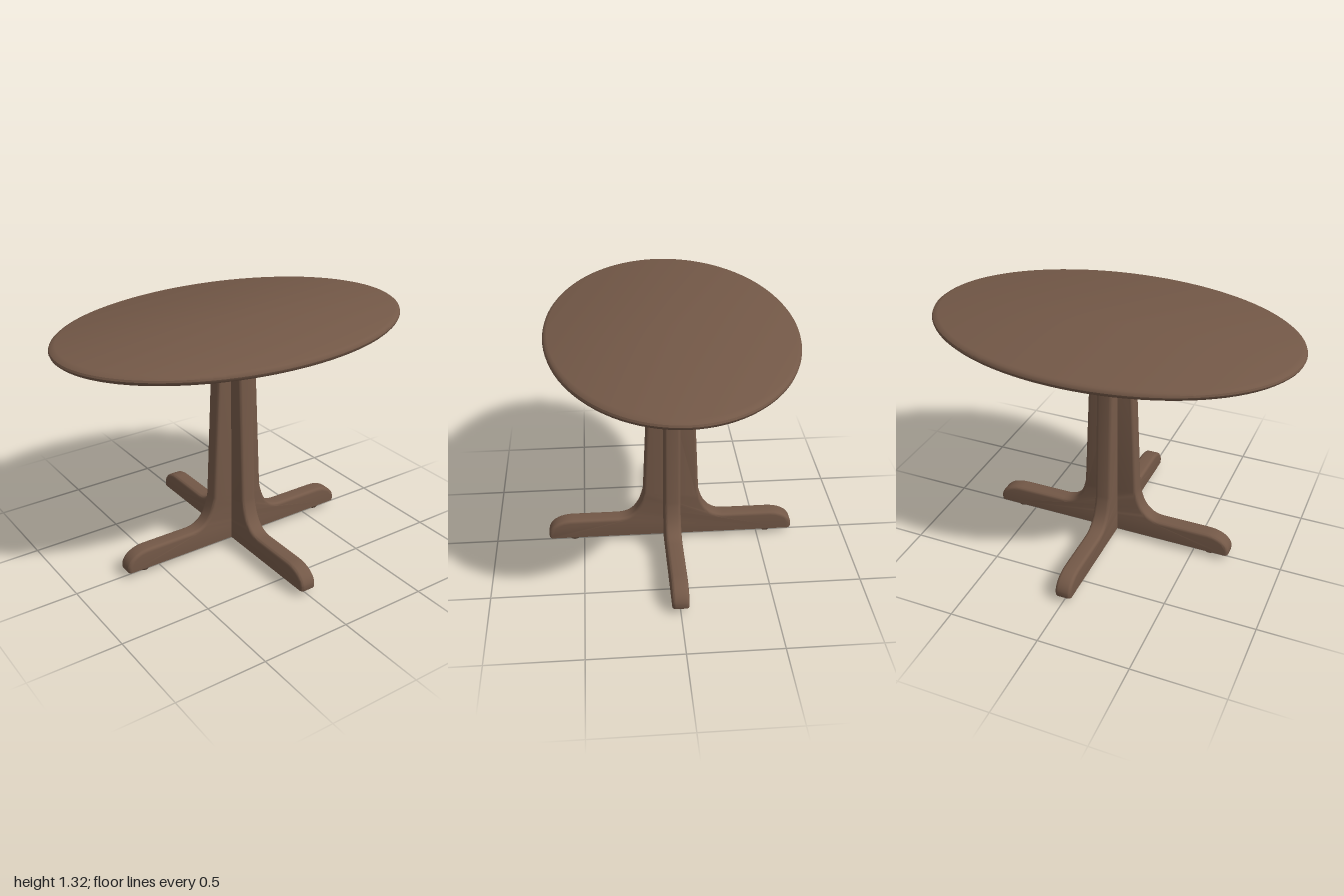
import * as THREE from 'three';
import { toCreasedNormals } from 'three/addons/utils/BufferGeometryUtils.js';

const BASE = 0.035; // underside of the crossed planks
const BEVEL = 0.018;

// Symmetric plank outline: tapered column flowing into two long feet
function plankShape(reach) {
  const low = BASE - BEVEL;
  const s = new THREE.Shape();
  s.moveTo(-reach + 0.012, low);
  s.lineTo(reach - 0.012, low);
  s.quadraticCurveTo(reach, low + 0.01, reach, 0.06);
  s.bezierCurveTo(reach - 0.005, 0.11, reach - 0.06, 0.148, reach - 0.14, 0.148);
  s.lineTo(0.3, 0.148);
  s.bezierCurveTo(0.21, 0.15, 0.175, 0.22, 0.155, 0.32);
  s.lineTo(0.11, 1.3);
  s.lineTo(-0.11, 1.3);
  s.lineTo(-0.155, 0.32);
  s.bezierCurveTo(-0.175, 0.22, -0.21, 0.15, -0.3, 0.148);
  s.lineTo(-reach + 0.14, 0.148);
  s.bezierCurveTo(-reach + 0.06, 0.148, -reach + 0.005, 0.11, -reach, 0.06);
  s.quadraticCurveTo(-reach, low + 0.01, -reach + 0.012, low);
  return s;
}

function plankGeometry(reach) {
  const depth = 0.09 - 2 * BEVEL;
  const g = new THREE.ExtrudeGeometry(plankShape(reach), {
    depth, curveSegments: 12, bevelEnabled: true,
    bevelSize: BEVEL, bevelOffset: -BEVEL, bevelThickness: BEVEL, bevelSegments: 4,
  });
  g.translate(0, 0, -depth / 2);
  // Cut the underside flat so only the upper edges stay rounded
  const p = g.attributes.position;
  for (let i = 0; i < p.count; i++) p.setY(i, Math.max(p.getY(i), BASE));
  return toCreasedNormals(g, 0.6);
}

export function createModel() {
  const wood = new THREE.MeshStandardMaterial({ color: 0x735847 });
  wood.name = 'brown wood';
  const table = new THREE.Group();
  table.name = 'pedestalTable';

  // Oval top with a rounded rim
  const rim = [[0, 1.275], [0.965, 1.275], [0.985, 1.279], [0.996, 1.288], [1, 1.298],
    [0.996, 1.308], [0.985, 1.316], [0.965, 1.322], [0, 1.324]];
  const topGeo = new THREE.LatheGeometry(rim.map(([x, y]) => new THREE.Vector2(x, y)), 96);
  topGeo.scale(1, 1, 0.657);
  const top = new THREE.Mesh(toCreasedNormals(topGeo, 0.5), wood);
  top.name = 'ovalTop';
  table.add(top);

  // Glide profile, a small stepped foot pad
  const pad = [[0, 0], [0.013, 0.001], [0.019, 0.012], [0.026, 0.024], [0.027, 0.04]];
  const padGeo = new THREE.LatheGeometry(pad.map(([x, y]) => new THREE.Vector2(x, y)), 16);
  padGeo.scale(1.5, 1, 1);

  // Two crossed planks, each with a glide under both feet
  [['sidePlank', 0.708, 0.59, 0], ['frontPlank', 0.699, 0.555, Math.PI / 2]]
    .forEach(([name, reach, padX, turn]) => {
      const group = new THREE.Group();
      group.name = name;
      const plank = new THREE.Mesh(plankGeometry(reach), wood);
      plank.name = 'columnAndFeet';
      group.add(plank);
      for (const side of [-1, 1]) {
        const glide = new THREE.Mesh(padGeo, wood);
        glide.name = 'footGlide';
        glide.position.x = side * padX;
        group.add(glide);
      }
      group.rotation.y = turn;
      table.add(group);
    });

  return table;
}
